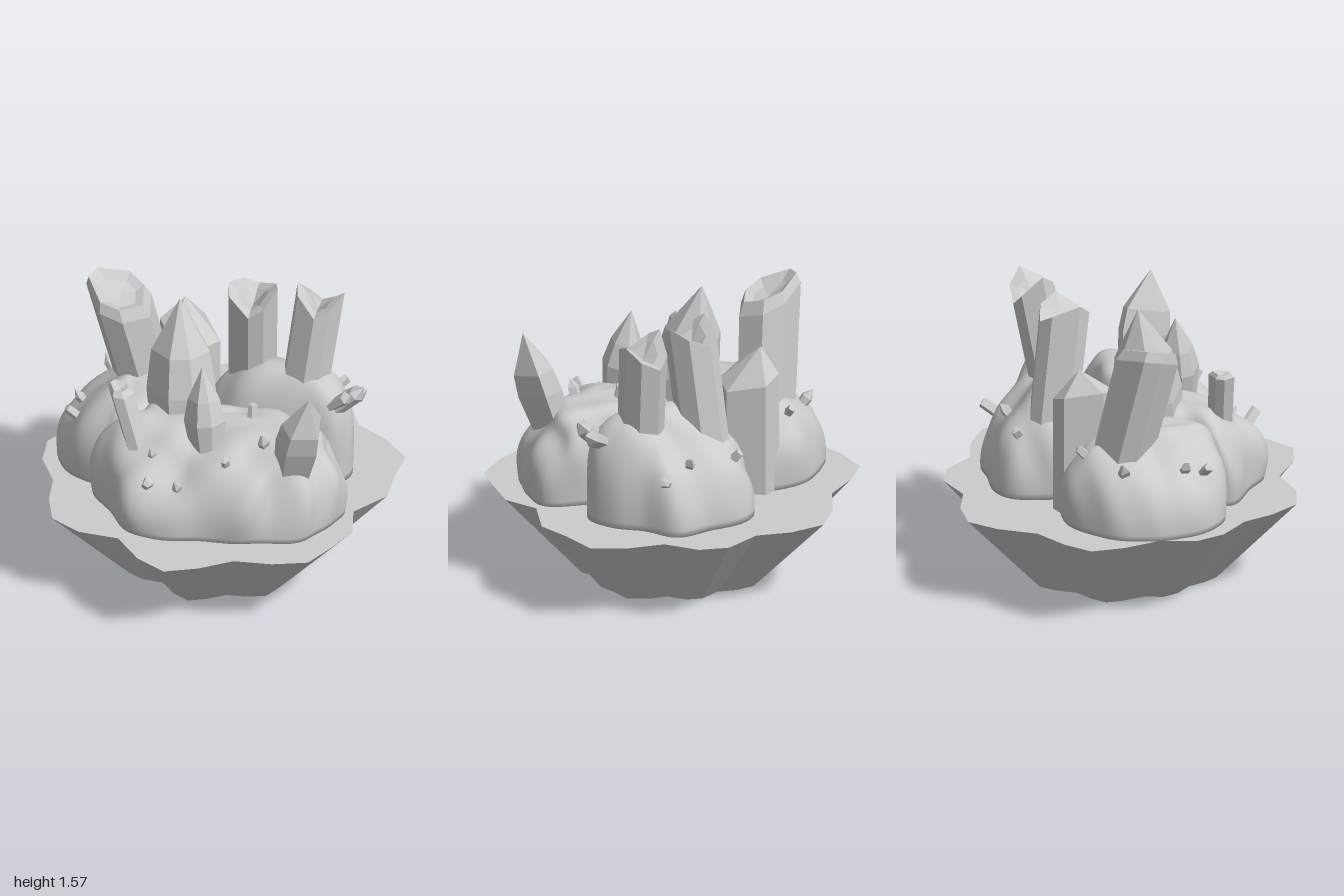
import * as THREE from 'three';

const V = (x, y, z) => new THREE.Vector3(x, y, z);
const smoothMat = new THREE.MeshStandardMaterial({ color: 0xcccccc, side: THREE.DoubleSide });
const flatMat = new THREE.MeshStandardMaterial({ color: 0xcccccc, flatShading: true, side: THREE.DoubleSide });

// Skins equal-length rings from bottom to top and closes both ends with fans
function loft(rings, bottom, top) {
  const n = rings[0].length, last = (rings.length - 1) * n;
  const pts = [...rings.flat(), bottom, top];
  const b = pts.length - 2, t = pts.length - 1, index = [];
  for (let j = 0; j < n; j++) {
    const k = (j + 1) % n;
    for (let i = 0; i < last; i += n) index.push(i + j, i + n + j, i + k, i + k, i + n + j, i + n + k);
    index.push(j, k, b, last + j, t, last + k);
  }
  const g = new THREE.BufferGeometry().setFromPoints(pts);
  g.setIndex(index);
  return g;
}

function flatMesh(name, indexed) {
  const g = indexed.toNonIndexed();
  g.computeVertexNormals();
  const mesh = new THREE.Mesh(g, flatMat);
  mesh.name = name;
  return mesh;
}

// Scalloped tapering base, narrow at the ground
function pedestal() {
  const outline = [[-.2, -1], [-.01, -.96], [.16, -.865], [.37, -.885], [.51, -.8], [.6, -.625], [.78, -.535],
    [.93, -.4], [.925, -.21], [.94, -.02], [.81, .17], [.86, .36], [.79, .54], [.715, .7], [.535, .77],
    [.33, .8], [.17, .92], [0, 1], [-.17, .92], [-.32, .77], [-.54, .77], [-.71, .69], [-.78, .52],
    [-.81, .34], [-.92, .17], [-.945, 0], [-.86, -.17], [-.87, -.39], [-.84, -.57], [-.7, -.66],
    [-.5, -.73], [-.35, -.9]];
  const ring = (s, y) => outline.map(([x, z]) => V(x * s, y, z * s));
  return flatMesh('pedestal', loft([ring(.54, 0), ring(1, .49)], V(0, 0, 0), V(0, .49, 0)));
}

// Lumpy dome rising from an outline to an off-centre summit;
// slope(dx, dz) gives the flank in each direction: low is steep, high is a gentle ramp
function rock(name, outline, [ax, az], height, lump, slope) {
  const curve = new THREE.CatmullRomCurve3(outline.map(([x, z]) => V(x, 0, z)), true);
  const edge = curve.getSpacedPoints(120).slice(0, 120);
  const rings = [];
  for (let i = 0; i < 36; i++) {
    const phi = i / 36 * Math.PI / 2;
    const y = .485 + height * Math.sin(phi) ** .85;
    rings.push(edge.map((p) => {
      const ex = p.x - ax, ez = p.z - az, d = Math.hypot(ex, ez);
      const f = Math.cos(phi) ** slope(ex / d, ez / d) * (1 + .05 * Math.sin(2 * phi));
      const x = ax + ex * f, z = az + ez * f;
      const bump = Math.sin(11 * x + 3 * y) * Math.sin(10 * z + 5 * y + 1)
        + .5 * Math.sin(21 * x - 6 * y + 8 * z) + .4 * Math.sin(27 * z + 9 * y - 9 * x);
      const s = 1 + lump * bump * (.4 + .6 * Math.sin(phi * 2));
      return V(ax + ex * f * s, y + lump * .3 * bump * Math.sin(phi), az + ez * f * s);
    }));
  }
  const g = loft(rings, V(ax, .485, az), V(ax, .485 + height, az));
  g.computeVertexNormals();
  const mesh = new THREE.Mesh(g, smoothMat);
  mesh.name = name;
  return mesh;
}

// Faceted shard from base to tip: profile holds [height share, radius share] rings,
// cut tilts the top, crown raises two opposite sides, cap is the height share of the end point
function crystal(name, base, tip, r, o = {}) {
  const { sides = 6, profile = [[0, .8], [.5, 1], [.7, .85]], cap = 1, cut = [0, 0], crown = 0,
    depth = 1, turn = 0, skew = [0, 0] } = o;
  const from = V(...base), axis = V(...tip).sub(from), h = axis.length();
  const rings = profile.map(([t, s]) => Array.from({ length: sides }, (_, j) => {
    const a = turn + (j + .18 * Math.sin(j * 2.7)) / sides * Math.PI * 2;
    const x = Math.cos(a) * r * s, z = Math.sin(a) * r * s * depth;
    const lift = t > .75 ? cut[0] * x + cut[1] * z + crown * Math.cos(2 * a) * s : 0;
    return V(x, t * h + lift, z);
  }));
  const mesh = flatMesh(name, loft(rings, V(0, 0, 0), V(skew[0], h * cap, skew[1])));
  mesh.position.copy(from);
  mesh.quaternion.setFromUnitVectors(V(0, 1, 0), axis.normalize());
  return mesh;
}

export function createModel() {
  const group = new THREE.Group();
  group.add(pedestal());

  const rocks = [
    rock('frontRock', [[.76, .23], [.68, .4], [.62, .5], [.45, .6], [.2, .65], [-.05, .72], [-.25, .7],
      [-.4, .59], [-.5, .46], [-.57, .34], [-.48, .24], [-.35, .08], [-.1, 0], [.2, -.01], [.5, 0], [.68, .08]],
    [-.02, .19], .5, .055,
    (dx, dz) => .62 - .35 * Math.abs(dx) + (dz > 0 ? .85 * dz ** 2 : 0)),
    rock('rightRock', [[-.15, -.2], [-.25, .1], [-.35, .28], [-.55, .32], [-.75, .25], [-.87, .05], [-.86, -.2],
      [-.72, -.42], [-.5, -.53], [-.3, -.5], [-.17, -.38]],
    [-.48, -.1], .49, .03,
    (dx, dz) => .7 + 1.2 * Math.max(0, -dx) - .5 * Math.max(0, dz)),
    rock('backRock', [[.7, -.15], [.64, -.05], [.45, -.02], [.2, -.03], [0, -.08], [-.12, -.18], [-.14, -.35],
      [-.08, -.55], [0, -.67], [.1, -.7], [.3, -.66], [.5, -.6], [.58, -.42], [.67, -.28]],
    [.38, -.24], .6, .03,
    (dx, dz) => .7 + (dx > 0 ? -.25 * dx : -.3 * dx) + 2 * Math.max(0, -dz) ** 3),
  ];
  group.add(...rocks);

  // Large pointed crystals
  group.add(
    crystal('centreCrystal', [-.15, .7, .12], [-.21, 1.55, -.01], .19,
      { sides: 7, profile: [[0, .9], [.4, 1], [.66, .84]] }),
    crystal('frontCrystal', [.06, .8, .37], [.01, 1.36, .31], .115,
      { sides: 7, profile: [[0, .7], [.45, 1], [.68, .75]] }),
    crystal('leaningCrystal', [.53, .83, .34], [.65, 1.37, .46], .13,
      { sides: 5, profile: [[0, .85], [.4, 1], [.62, .9]], turn: .5, depth: 1.1 }),
    crystal('slabCrystal', [-.25, .48, -.35], [-.25, 1.3, -.35], .165,
      { sides: 6, profile: [[0, 1], [.8, 1]], cut: [-.35, 0], turn: .9, skew: [-.04, -.04] }),
  );

  // Broken crystals with hollow, jagged or sliced ends
  group.add(
    crystal('slantedCrystal', [-.44, .68, -.25], [-.59, 1.47, -.12], .17,
      { sides: 7, profile: [[0, .95], [.92, 1], [1, .85], [.96, .55]], cap: .93, cut: [-.55, -.1], turn: .3 }),
    crystal('backCrystal', [.08, .6, -.4], [.12, 1.5, -.28], .135,
      { sides: 8, profile: [[0, .95], [.97, 1], [.95, .6]], cap: .88, crown: .06, depth: 1.1 }),
    crystal('tallCrystal', [.4, .75, -.2], [.48, 1.51, -.32], .13,
      { sides: 8, profile: [[0, .95], [.97, 1], [.95, .6]], cap: .88, crown: .07 }),
    crystal('smallCrystal', [-.32, .86, .42], [-.43, 1.2, .38], .07,
      { profile: [[0, .95], [.93, 1], [1, .7]], cap: .94, cut: [-.4, -.3] }),
  );

  // Cluster jutting from the side of the back rock
  [[[.6, .9, -.12], [.78, 1.09, -.13], .05], [[.58, .92, -.18], [.78, 1.03, -.19], .05],
    [[.6, .95, -.1], [.72, 1.06, -.08], .04]].forEach(([a, b, r]) =>
    group.add(crystal('sideCrystal', a, b, r, { sides: 5, profile: [[0, .8], [.75, 1]] })));

  // Little shards standing out of the rock surface at given x, z
  const ray = new THREE.Raycaster();
  const spots = [[.07, -.58], [.33, -.52], [.5, -.52], [.25, -.05], [.24, .15], [.37, .36], [.2, .51], [-.04, .6],
    [-.2, .64], [-.21, .5], [-.74, .13], [-.67, -.3], [-.45, -.43], [-.74, .02]];
  spots.forEach(([x, z], i) => {
    ray.set(V(x, 3, z), V(0, -1, 0));
    const hit = ray.intersectObjects(rocks)[0];
    if (!hit) return;
    const n = hit.face.normal.clone().add(V(0, .1, 0)).normalize();
    const a = hit.point.clone().addScaledVector(n, -.04);
    const b = hit.point.clone().addScaledVector(n, .06 + .015 * (i % 3));
    group.add(crystal('shard', a.toArray(), b.toArray(), .026 + .004 * (i % 3),
      { sides: 5, profile: i % 2 ? [[0, .8], [.6, 1]] : [[0, 1], [.95, .9]] }));
  });
  return group;
}
